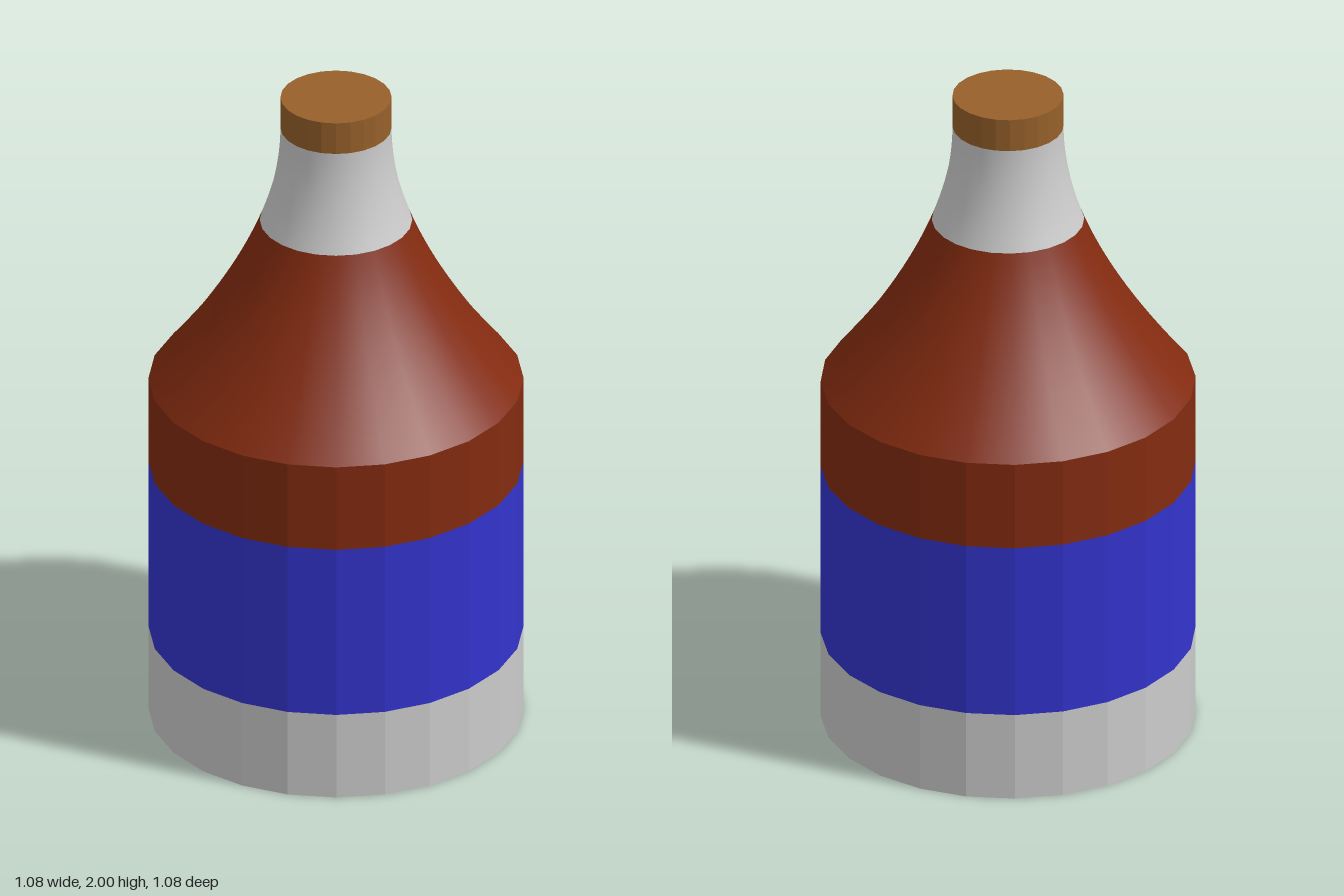
import * as THREE from 'three';

const SIDES = 24;
const BODY_R = 0.54, NECK_R = 0.16;
const GREY = 0xcccccc, BLUE = 0x3333cc, RED = 0x832b10, CORK = 0x96602a;

export function createModel() {
  const group = new THREE.Group();

  const add = (name, geometry, color, flatShading = false) => {
    const mesh = new THREE.Mesh(geometry, new THREE.MeshStandardMaterial({ color, flatShading }));
    mesh.name = name;
    group.add(mesh);
    return mesh;
  };

  // Faceted open ring between two heights
  const band = (name, r, y0, y1, color) => {
    const geometry = new THREE.CylinderGeometry(r, r, y1 - y0, SIDES, 1, true);
    add(name, geometry.translate(0, (y0 + y1) / 2, 0), color, true);
  };

  // Flat end disc facing up (1) or down (-1)
  const disc = (name, r, y, facing, color) => {
    const geometry = new THREE.CircleGeometry(r, SIDES).rotateX(-facing * Math.PI / 2);
    add(name, geometry.translate(0, y, 0), color);
  };

  // Straight body in three bands
  disc('base', BODY_R, 0, -1, GREY);
  band('lowerBody', BODY_R, 0, 0.27, GREY);
  band('label', BODY_R, 0.27, 0.81, BLUE);
  band('upperBody', BODY_R, 0.81, 1.08, RED);

  // Smooth concave shoulder sweeping into the neck
  const sweep = new THREE.QuadraticBezierCurve(
    new THREE.Vector2(BODY_R, 1.08),
    new THREE.Vector2(NECK_R, 1.54),
    new THREE.Vector2(NECK_R, 1.9)
  );
  const sweepPart = (name, t0, t1, steps, color) => {
    const points = [];
    for (let i = 0; i <= steps; i++) points.push(sweep.getPoint(t0 + (t1 - t0) * i / steps));
    add(name, new THREE.LatheGeometry(points, SIDES), color);
  };
  const split = 0.604; // curve parameter at y = 1.6
  sweepPart('shoulder', 0, split, 18, RED);
  sweepPart('neck', split, 1, 12, GREY);

  // Stopper
  band('stopperSide', NECK_R, 1.9, 2, CORK);
  disc('stopperTop', NECK_R, 2, 1, CORK);

  return group;
}
